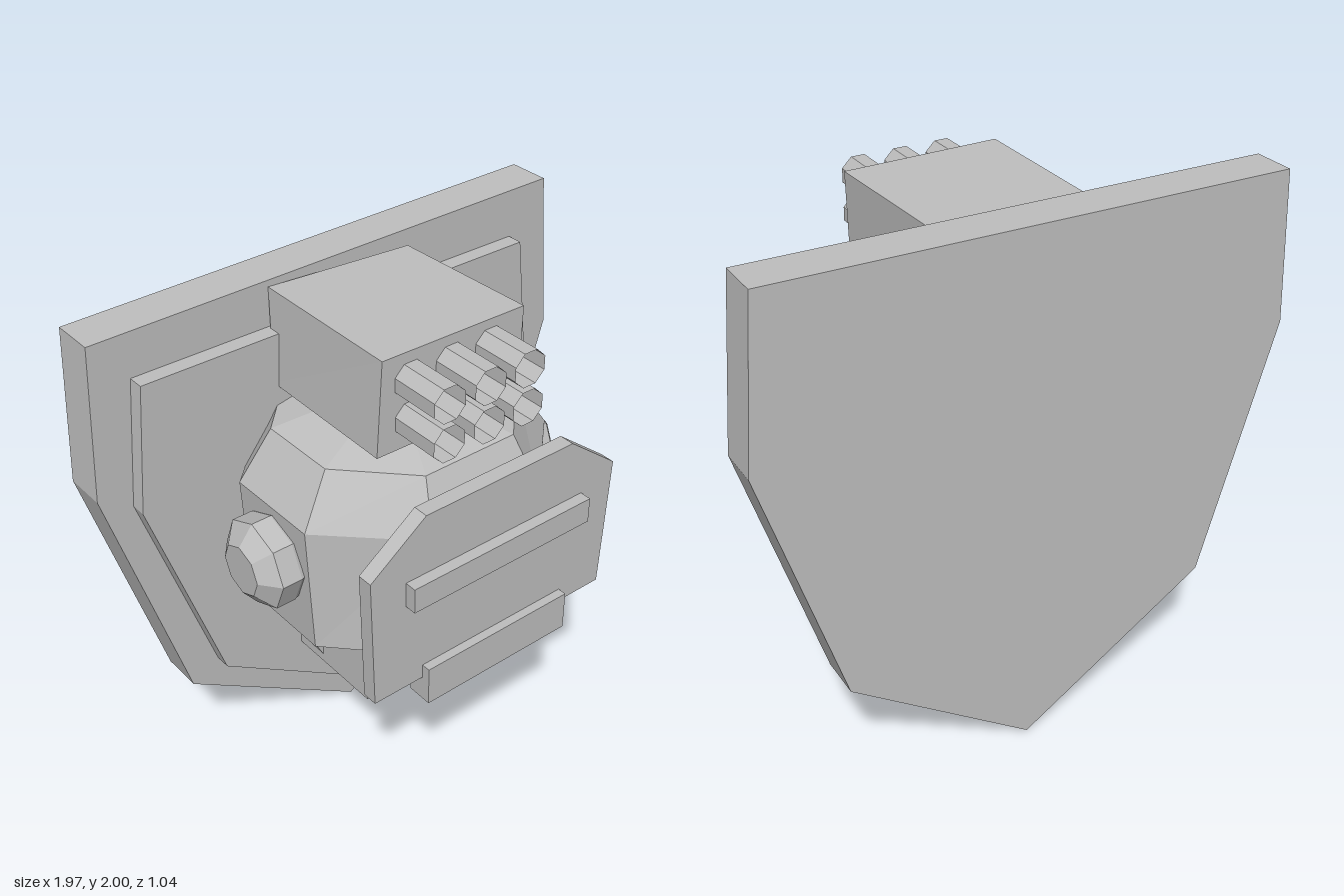
import * as THREE from 'three';

const grey = new THREE.MeshStandardMaterial({ color: 0xbfbfbf, flatShading: true, side: THREE.DoubleSide });
grey.name = 'plain grey';

// Closed solid through horizontal rings, bottom to top, each listed from front-left round by the right
function loft(rings) {
  const n = rings[0].length;
  const top = (rings.length - 1) * n;
  const index = [];
  for (let i = 0; i < rings.length - 1; i++) {
    for (let j = 0; j < n; j++) {
      const k = (j + 1) % n;
      const a = i * n + j, b = i * n + k, c = b + n, d = a + n;
      index.push(a, b, c, a, c, d);
    }
  }
  for (let j = 1; j < n - 1; j++) {
    index.push(0, j + 1, j, top, top + j, top + j + 1);
  }
  const geo = new THREE.BufferGeometry();
  geo.setAttribute('position', new THREE.Float32BufferAttribute(rings.flat(2), 3));
  geo.setIndex(index);
  const flat = geo.toNonIndexed();
  flat.computeVertexNormals();
  return flat;
}

// Flat plate with a front outline, between two depths
function plate(points, back, front) {
  const shape = new THREE.Shape(points.map(([x, y]) => new THREE.Vector2(x, y)));
  const geo = new THREE.ExtrudeGeometry(shape, { depth: front - back, bevelEnabled: false });
  return geo.translate(0, 0, back);
}

function box(x0, x1, y0, y1, z0, z1) {
  return new THREE.BoxGeometry(x1 - x0, y1 - y0, z1 - z0)
    .translate((x0 + x1) / 2, (y0 + y1) / 2, (z0 + z1) / 2);
}

// Uneven octagon ring of the head
function headRing(y, scale, halfWidth) {
  const c = 0.23 * scale, f = 0.47 * scale, s = 0.185 * scale, w = halfWidth;
  return [[-c, f], [c, f], [w, s], [w, -s], [c, -f], [-c, -f], [-w, -s], [-w, s]]
    .map(([x, z]) => [x, y, z - 0.05]);
}

export function createModel() {
  const model = new THREE.Group();
  model.name = 'mountedHead';
  const add = (name, geo) => {
    const mesh = new THREE.Mesh(geo, grey);
    mesh.name = name;
    model.add(mesh);
    return mesh;
  };

  // Wall plaque with a raised inner panel
  add('plaque', plate([[-0.945, 1.99], [0, 0], [0, 0]].slice(0, 1).concat(
    [[-0.985, 1.43], [-0.72, 0.475], [0, 0], [0.695, 0.48], [0.985, 1.4], [0.94, 2]]), -0.52, -0.36));
  add('plaquePanel', plate([[-0.81, 1.83], [-0.86, 1.36], [-0.605, 0.54], [0, 0.135],
    [0.6, 0.54], [0.83, 1.35], [0.78, 1.82]], -0.37, -0.3));

  // Faceted head
  add('head', loft([
    headRing(0.76, 0.67, 0.34),
    headRing(0.885, 1, 0.505),
    headRing(1.375, 1, 0.525),
    headRing(1.56, 0.81, 0.41),
    headRing(1.615, 0.38, 0.2),
  ]));

  // Face plate, brow bar and chin block
  add('facePlate', plate([[-0.52, 0.885], [0.49, 0.885], [0.515, 1.39], [0.31, 1.55],
    [-0.31, 1.55], [-0.53, 1.39]], 0.425, 0.482));
  add('browBar', box(-0.39, 0.37, 1.23, 1.325, 0.48, 0.525));
  add('chinBlock', box(-0.32, 0.3, 0.79, 0.94, 0.42, 0.515));

  // Neck with a chamfered front corner
  add('neck', loft([
    [[-0.27, 0.475, 0.11], [0, 0.475, 0.11], [0.14, 0.475, 0.04], [0.23, 0.475, -0.13],
      [0.23, 0.475, -0.37], [-0.27, 0.475, -0.37]],
    [[-0.265, 0.78, 0.11], [0, 0.78, 0.11], [0.19, 0.78, 0], [0.2, 0.78, -0.13],
      [0.2, 0.78, -0.37], [-0.265, 0.78, -0.37]],
  ]));

  for (const side of [1, -1]) {
    const word = side > 0 ? 'left' : 'right';

    // Domed octagonal ear
    const profile = [[0, 0.46], [0.14, 0.46], [0.165, 0.53], [0.165, 0.605], [0.095, 0.66], [0, 0.66]];
    const ear = new THREE.LatheGeometry(profile.map(([r, h]) => new THREE.Vector2(r, h)), 8);
    ear.rotateZ(-side * Math.PI / 2).translate(0, 1.18, -0.05);
    add(word + 'Ear', ear);

    // Slanting neck strut
    const strut = add(word + 'NeckStrut', new THREE.BoxGeometry(0.045, 0.37, 0.065));
    strut.position.set(side * 0.285, 0.59, -0.19);
    strut.rotation.z = -side * 0.46;
  }

  // Slightly skewed launcher box on top
  add('launcherBox', loft([
    [[-0.31, 1.63, 0.24], [0.28, 1.62, 0.24], [0.275, 1.62, -0.3], [-0.3, 1.63, -0.33]],
    [[-0.285, 1.97, 0.24], [0.29, 1.96, 0.24], [0.27, 1.96, -0.32], [-0.28, 1.97, -0.36]],
  ]));

  // Two rows of three open barrels
  for (const y of [1.727, 1.868]) {
    for (const x of [-0.175, -0.012, 0.15]) {
      const barrel = new THREE.CylinderGeometry(0.066, 0.066, 0.195, 8, 1, true, Math.PI / 8);
      barrel.rotateX(Math.PI / 2).translate(x, y, 0.33);
      add('launcherBarrel', barrel);
    }
  }

  return model;
}
